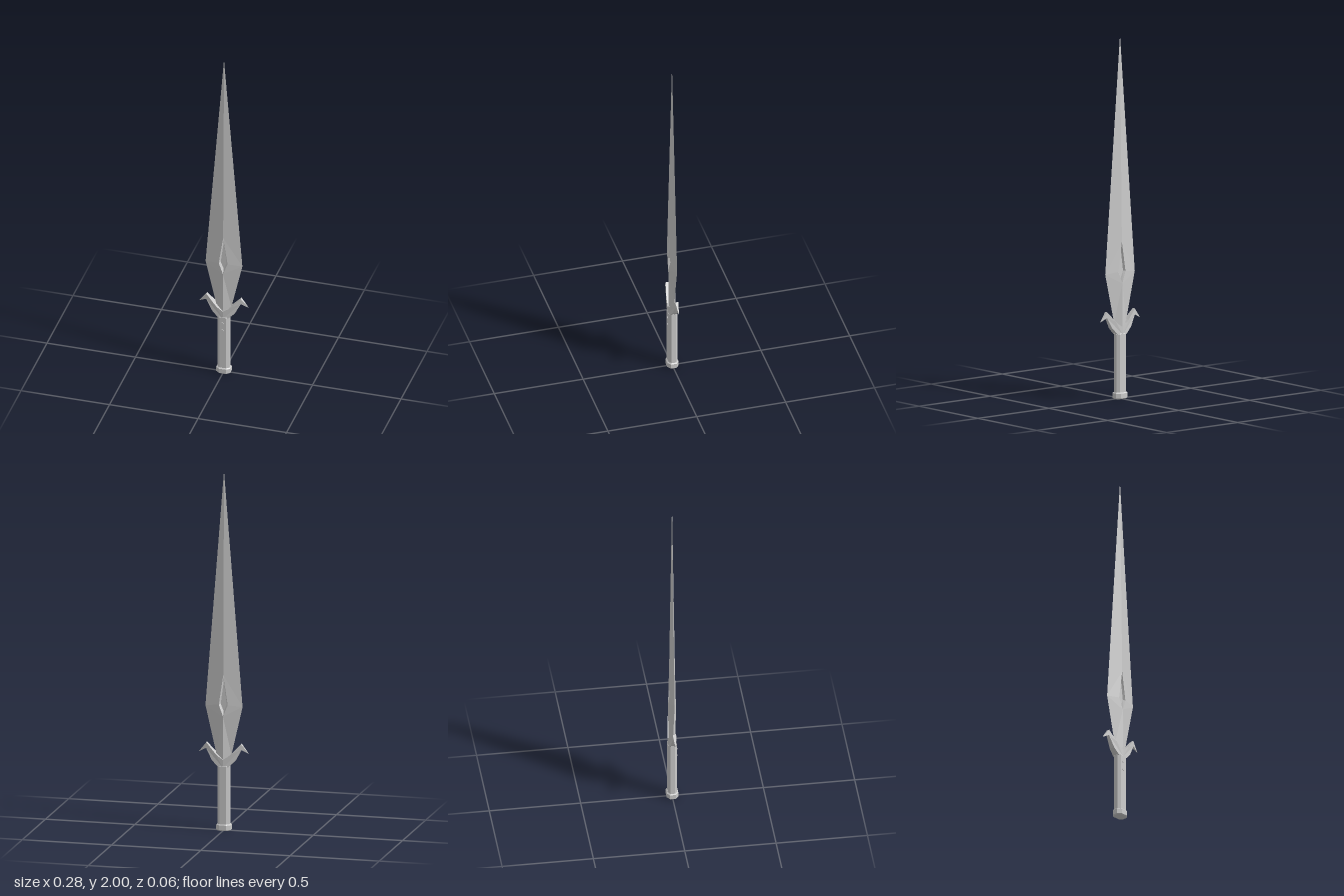
import * as THREE from 'three';

const material = new THREE.MeshStandardMaterial({ color: 0xcccccc, flatShading: true });

function addMesh(parent, name, geometry) {
  const mesh = new THREE.Mesh(geometry, material);
  mesh.name = name;
  parent.add(mesh);
  return mesh;
}

// Upright prism with an eight-sided section of half sizes hx, hz and front flat fx
function octagonPrism(hx, hz, fx, fz, y0, y1, bevel = 0) {
  const points = [[fx, hz], [hx, fz], [hx, -fz], [fx, -hz], [-fx, -hz], [-hx, -fz], [-hx, fz], [-fx, hz]];
  const shape = new THREE.Shape(points.map(([x, z]) => new THREE.Vector2(x, z)));
  const geometry = new THREE.ExtrudeGeometry(shape, {
    depth: y1 - y0 - 2 * bevel, bevelEnabled: bevel > 0,
    bevelThickness: bevel, bevelSize: bevel, bevelOffset: -bevel, bevelSegments: 1,
  });
  geometry.rotateX(-Math.PI / 2);
  return geometry.translate(0, y0 + bevel, 0);
}

// Blade: one quarter of facets, mirrored left to right and front to back
function bladeGeometry() {
  const p = {
    tip: [0, 2, 0], edge: [0.104, 0.69, 0], heel: [0.042, 0.42, 0],
    root: [0, 0.37, 0.02], rootEdge: [0.03, 0.37, 0],
    top: [0, 0.865, 0.016], side: [0.025, 0.7, 0.0165], low: [0, 0.635, 0.021],
    topIn: [0, 0.83, 0.005], sideIn: [0.017, 0.703, 0.005], lowIn: [0, 0.66, 0.005],
  };
  const facets = [
    'tip top edge', 'top side edge', 'side low edge', 'low heel edge',
    'low root heel', 'root rootEdge heel',
    // sunken diamond
    'top topIn side', 'topIn sideIn side', 'side sideIn low', 'sideIn lowIn low',
    'topIn lowIn sideIn',
  ];
  const positions = [];
  for (const sx of [1, -1]) {
    for (const sz of [1, -1]) {
      for (const facet of facets) {
        const corners = facet.split(' ');
        if (sx * sz < 0) corners.reverse();
        for (const c of corners) positions.push(p[c][0] * sx, p[c][1], p[c][2] * sz);
      }
    }
  }
  const geometry = new THREE.BufferGeometry();
  geometry.setAttribute('position', new THREE.Float32BufferAttribute(positions, 3));
  geometry.computeVertexNormals();
  return geometry;
}

// Half of the guard: a hooked outline that thins towards its point
function guardGeometry() {
  const outline = [[0, 0.352], [0.03, 0.355], [0.065, 0.39], [0.098, 0.453], [0.141, 0.43],
    [0.097, 0.485], [0.047, 0.43], [0.03, 0.415], [0, 0.395]];
  const shape = new THREE.Shape(outline.map(([x, y]) => new THREE.Vector2(x, y)));
  const geometry = new THREE.ExtrudeGeometry(shape, { depth: 2, bevelEnabled: false }).translate(0, 0, -1);
  const pos = geometry.attributes.position;
  for (let i = 0; i < pos.count; i++) {
    const x = pos.getX(i);
    const half = x < 0.05 ? 0.024 - 0.1 * x : 0.019 * (0.141 - x) / 0.091;
    pos.setZ(i, pos.getZ(i) * half);
  }
  geometry.computeVertexNormals();
  return geometry;
}

export function createModel() {
  const sword = new THREE.Group();
  sword.name = 'sword';

  addMesh(sword, 'blade', bladeGeometry());

  // Guard, one hooked arm on each side
  const guard = guardGeometry();
  addMesh(sword, 'guardLeft', guard);
  addMesh(sword, 'guardRight', guard).rotation.y = Math.PI;

  // Handle
  addMesh(sword, 'grip', octagonPrism(0.034, 0.025, 0.019, 0.012, 0.02, 0.362, 0.005));
  addMesh(sword, 'pommel', octagonPrism(0.04, 0.032, 0.02, 0.016, 0, 0.036, 0.005));

  // Rivets on the front of the grip
  for (const y of [0.275, 0.32]) {
    const rivet = addMesh(sword, 'rivet', new THREE.CylinderGeometry(0.007, 0.008, 0.006, 8));
    rivet.rotation.x = Math.PI / 2;
    rivet.position.set(0, y, 0.025);
  }
  return sword;
}
